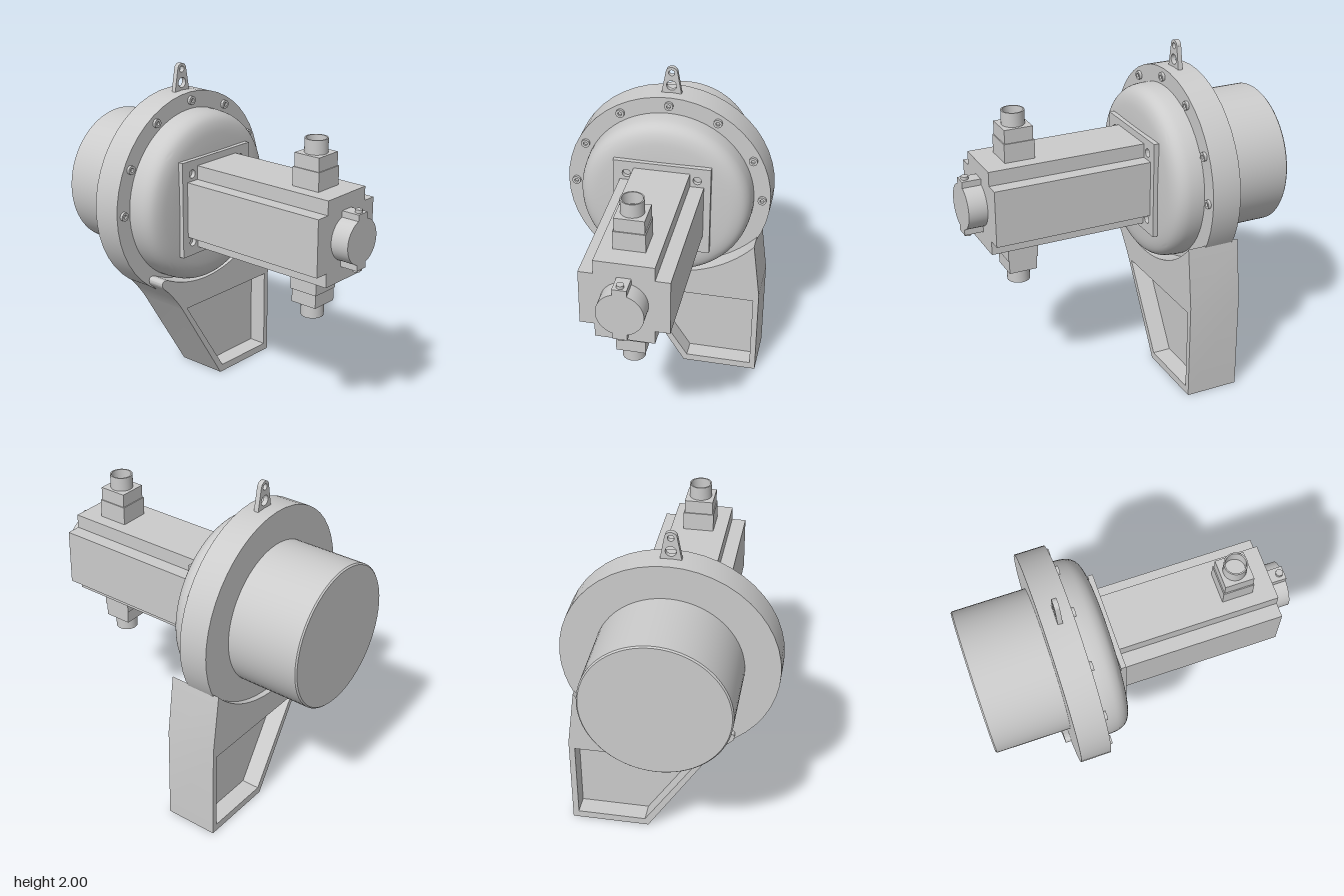
import * as THREE from 'three';
import { toCreasedNormals } from 'three/addons/utils/BufferGeometryUtils.js';

const AXIS_Y = 1.22; // height of the main axis

export function createModel() {
  const model = new THREE.Group();
  const grey = new THREE.MeshStandardMaterial({ color: 0xcccccc });
  const greyDouble = new THREE.MeshStandardMaterial({ color: 0xcccccc, side: THREE.DoubleSide });

  function add(name, geometry, x = 0, y = 0, z = 0, parent = model, material = grey) {
    const mesh = new THREE.Mesh(geometry, material);
    mesh.name = name;
    mesh.position.set(x, y, z);
    parent.add(mesh);
    return mesh;
  }
  const polygon = (pts) => new THREE.Shape(pts.map(([x, y]) => new THREE.Vector2(x, y)));
  const circleHole = (x, y, r) => new THREE.Path().absarc(x, y, r, 0, Math.PI * 2, true);
  // Extrude a front-view shape between two z values
  function slab(shape, z0, z1, curveSegments = 24) {
    const g = new THREE.ExtrudeGeometry(shape, { depth: z1 - z0, bevelEnabled: false, curveSegments });
    g.translate(0, 0, z0);
    return toCreasedNormals(g, 0.5);
  }
  // Revolve [radius, z] points (back to front) around the z axis
  function turned(points, segments = 72) {
    const g = new THREE.LatheGeometry(points.map(([r, z]) => new THREE.Vector2(r, z)), segments);
    g.rotateX(Math.PI / 2);
    return toCreasedNormals(g, 0.5);
  }

  // Round housing: rear drum, flange ring and domed front cover
  add('rearDrum', turned([[0, -0.935], [0.412, -0.935], [0.42, -0.927], [0.42, -0.45]]), 0, AXIS_Y);
  add('flange', turned([[0, -0.495], [0.62, -0.495], [0.62, -0.32], [0, -0.32]], 48), 0, AXIS_Y);
  const domeCurve = new THREE.SplineCurve(
    [[0.52, -0.33], [0.518, -0.27], [0.508, -0.217], [0.48, -0.178], [0.43, -0.156], [0.36, -0.147], [0.28, -0.143]]
      .map(([r, z]) => new THREE.Vector2(r, z)));
  const domeProfile = domeCurve.getPoints(24).map((p) => [p.x, p.y]);
  add('frontDome', turned([...domeProfile, [0, -0.143]]), 0, AXIS_Y);

  // Flange bolts with a socket, over the upper half
  for (const deg of [0, 27.5, 59.4, 90, 120.6, 152.5, 180]) {
    const a = THREE.MathUtils.degToRad(deg);
    add('flangeBolt', turned([[0.026, -0.33], [0.026, -0.303], [0.012, -0.303], [0.012, -0.316], [0, -0.316]], 16),
      0.57 * Math.cos(a), AXIS_Y + 0.57 * Math.sin(a));
  }

  // Lifting lug with two holes
  const lug = new THREE.Shape();
  lug.moveTo(-0.062, 1.82);
  lug.lineTo(0.062, 1.82);
  lug.lineTo(0.035, 1.97);
  lug.absarc(0, 1.965, 0.035, 0.15, Math.PI - 0.15, false);
  lug.closePath();
  lug.holes.push(circleHole(0, 1.965, 0.018), circleHole(0, 1.885, 0.03));
  add('liftingLug', slab(lug, -0.415, -0.387));

  // Support leg: rim with a recessed web on both faces
  const leg = new THREE.Shape();
  leg.moveTo(0.13, 0);
  leg.lineTo(0.595, 0);
  leg.lineTo(0.595, 0.59);
  leg.lineTo(0.55, 0.95);
  leg.absarc(0, 1.43, 0.73, Math.atan2(-0.48, 0.55), Math.atan2(-0.653, -0.327), true);
  leg.quadraticCurveTo(-0.39, 0.8, -0.375, 0.745);
  leg.quadraticCurveTo(-0.365, 0.73, -0.34, 0.71);
  leg.quadraticCurveTo(-0.27, 0.64, -0.21, 0.55);
  leg.closePath();
  const pocket = [[-0.17, 0.545], [0.56, 0.545], [0.56, 0.045], [0.15, 0.045]];
  leg.holes.push(new THREE.Path(polygon(pocket).getPoints()));
  add('legFrame', slab(leg, -0.53, -0.21));
  add('legWeb', slab(polygon(pocket), -0.42, -0.32));

  // Motor mounting plate with corner holes
  const plate = polygon([[-0.29, 0.932], [0.29, 0.932], [0.29, 1.51], [-0.29, 1.51]]);
  for (const x of [-0.21, 0.21]) {
    for (const y of [1.013, 1.43]) plate.holes.push(circleHole(x, y, 0.025));
  }
  add('mountingPlate', slab(plate, -0.147, -0.117));

  // Motor body: cross-shaped section with notched corners
  const W = 0.25, N = 0.167;
  const cross = polygon([[-N, -W], [N, -W], [N, -N], [W, -N], [W, N], [N, N],
    [N, W], [-N, W], [-N, N], [-W, N], [-W, -N], [-N, -N]]);
  add('motorBody', slab(cross, -0.12, 0.825), 0, AXIS_Y);

  // Front cap with a tab and a small screw above and below
  add('frontCap', turned([[0.132, 0.82], [0.132, 0.935], [0, 0.935]], 48), 0, AXIS_Y);
  for (const s of [1, -1]) {
    add('capTab', new THREE.BoxGeometry(0.08, 0.06, 0.11), 0, AXIS_Y + s * 0.132, 0.88);
    add('capScrew', new THREE.CylinderGeometry(0.021, 0.021, 0.04, 16), 0, AXIS_Y + s * 0.16, 0.905);
  }

  // Cable connectors on the top and bottom of the motor
  for (const s of [1, -1]) {
    const connector = new THREE.Group();
    connector.name = s > 0 ? 'topConnector' : 'bottomConnector';
    connector.position.set(0, AXIS_Y, 0.61);
    if (s < 0) connector.rotation.z = Math.PI;
    add('connectorBase', new THREE.BoxGeometry(0.18, 0.12, 0.18), 0, 0.3, 0, connector);
    add('connectorBlock', new THREE.BoxGeometry(0.168, 0.09, 0.168), 0, 0.395, 0, connector);
    const socket = [[0.066, 0.43], [0.066, 0.522], [0.058, 0.522], [0.058, 0.45], [0, 0.45]];
    const tube = new THREE.LatheGeometry(socket.map(([r, y]) => new THREE.Vector2(r, y)), 32);
    add('connectorSocket', toCreasedNormals(tube, 0.5), 0, 0, 0, connector, greyDouble);
    model.add(connector);
  }

  return model;
}
